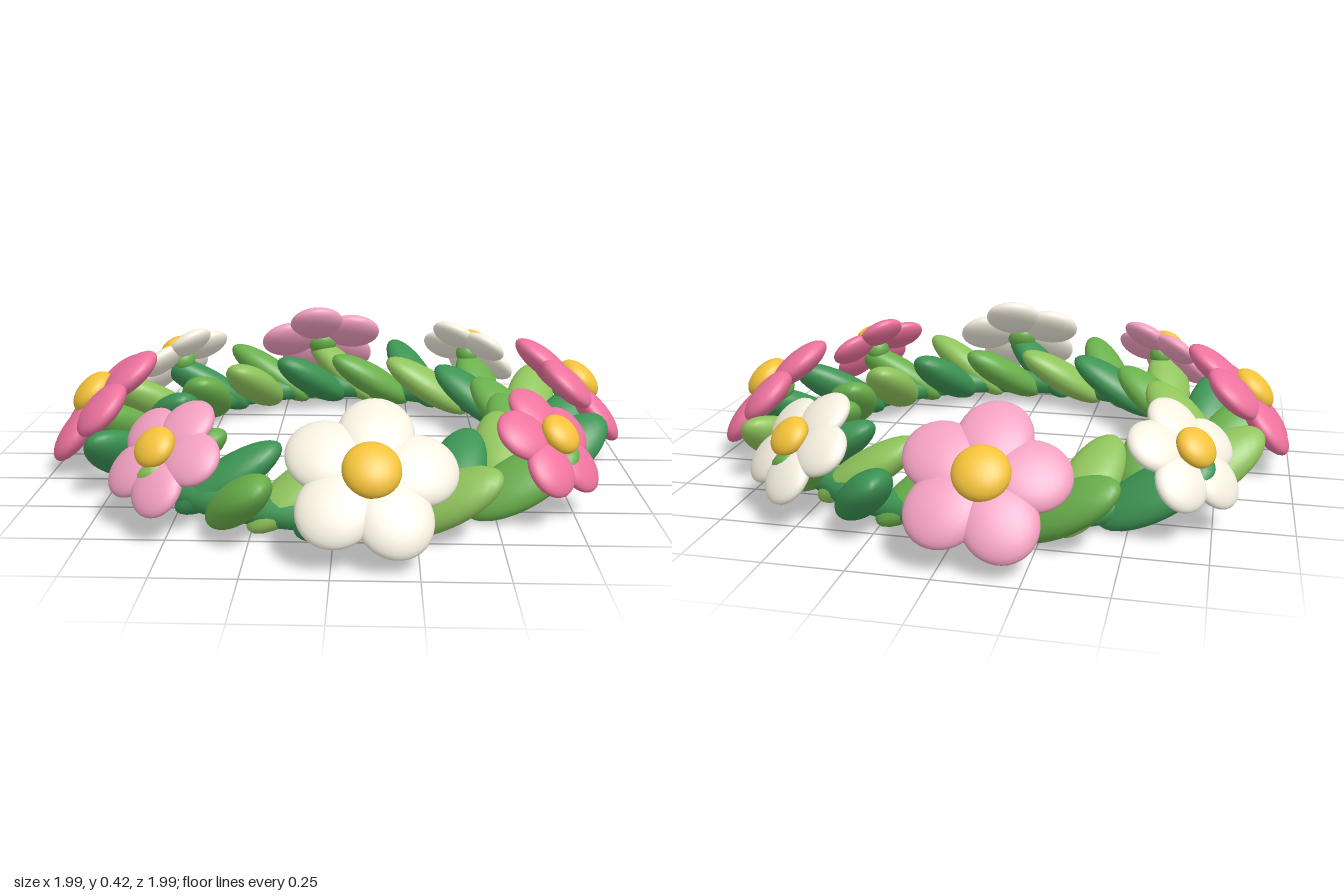
import * as THREE from 'three';

const mat = (color) => new THREE.MeshStandardMaterial({ color });
const GREENS = { mid: mat(0x6ab04c), dark: mat(0x3d9454), light: mat(0x90c45c) };
const PETALS = { white: mat(0xf5efe0), pink: mat(0xee739e), blush: mat(0xf2a0c0) };
const YELLOW = mat(0xf4c23a);
const ball = new THREE.SphereGeometry(1, 28, 18);

// Ellipsoid with half sizes a, b, c
function blob(name, material, a, b, c) {
  const mesh = new THREE.Mesh(ball, material);
  mesh.name = name;
  mesh.scale.set(a, b, c);
  return mesh;
}

// Unit vectors pointing out of the ring and along it, at an angle in degrees from +x to +z
function ringFrame(deg) {
  const t = THREE.MathUtils.degToRad(deg);
  return {
    out: new THREE.Vector3(Math.cos(t), 0, Math.sin(t)),
    along: new THREE.Vector3(Math.sin(t), 0, -Math.cos(t)),
  };
}
const UP = new THREE.Vector3(0, 1, 0);

// Leaf splayed to the inside or outside of the ring, tip raised
function makeLeaf(deg, outside, material) {
  const { out, along } = ringFrame(deg);
  const leaf = blob('leaf', material, 0.2, 0.094, 0.062);
  leaf.position.copy(out).multiplyScalar(outside ? 0.79 : 0.635);
  leaf.position.y = 0.138;
  const dir = along.clone().multiplyScalar(0.26)
    .addScaledVector(out, outside ? 0.22 : -0.17)
    .addScaledVector(UP, 0.2).normalize();
  const face = UP.clone().addScaledVector(out, outside ? 0.5 : 0);
  const width = face.cross(dir).normalize();
  const normal = dir.clone().cross(width);
  leaf.quaternion.setFromRotationMatrix(new THREE.Matrix4().makeBasis(dir, width, normal));
  return leaf;
}

// Five-petalled flower tilted up and outward, petals drooping slightly
function makeFlower(deg, size, material) {
  const { out, along } = ringFrame(deg);
  const flower = new THREE.Group();
  flower.name = 'flower';
  const normal = out.clone().add(UP).normalize();
  const upward = normal.clone().cross(along).normalize();
  flower.quaternion.setFromRotationMatrix(new THREE.Matrix4().makeBasis(along, upward, normal));
  flower.position.copy(out).multiplyScalar(0.83);
  flower.position.y = 0.25;

  for (let i = 0; i < 5; i++) {
    const pivot = new THREE.Group();
    pivot.name = 'petalPivot';
    pivot.rotation.z = THREE.MathUtils.degToRad(78 + i * 72);
    const petal = blob('petal', material, 0.121 * size, 0.112 * size, 0.046 * size);
    petal.position.set(0.139 * size, 0, 0.008);
    petal.rotation.y = 0.12;
    pivot.add(petal);
    flower.add(pivot);
  }

  const centre = blob('flowerCentre', YELLOW, 0.085 * size, 0.085 * size, 0.05 * size);
  centre.position.z = 0.055;
  const calyx = blob('calyx', GREENS.mid, 0.06 * size, 0.06 * size, 0.045);
  calyx.position.z = -0.005;
  flower.add(centre, calyx);
  return flower;
}

export function createModel() {
  const wreath = new THREE.Group();
  wreath.name = 'flowerWreath';

  // Vine ring that carries everything
  const vine = new THREE.Mesh(new THREE.TorusGeometry(0.71, 0.048, 14, 72), GREENS.dark);
  vine.name = 'vineRing';
  vine.rotation.x = Math.PI / 2;
  vine.position.y = 0.085;
  wreath.add(vine);

  // Leaves alternate inside and outside, cycling three greens
  const cycle = [GREENS.mid, GREENS.dark, GREENS.light];
  for (let i = 0; i < 32; i++) {
    wreath.add(makeLeaf(9.5 + i * 11.25, i % 2 === 1, cycle[i % 3]));
  }

  // Eight flowers, large and small in turn
  const colours = ['white', 'pink', 'pink', 'white', 'blush', 'white', 'pink', 'blush'];
  colours.forEach((c, i) => {
    wreath.add(makeFlower(82.5 - i * 45, i % 2 ? 0.79 : 1, PETALS[c]));
  });
  return wreath;
}
